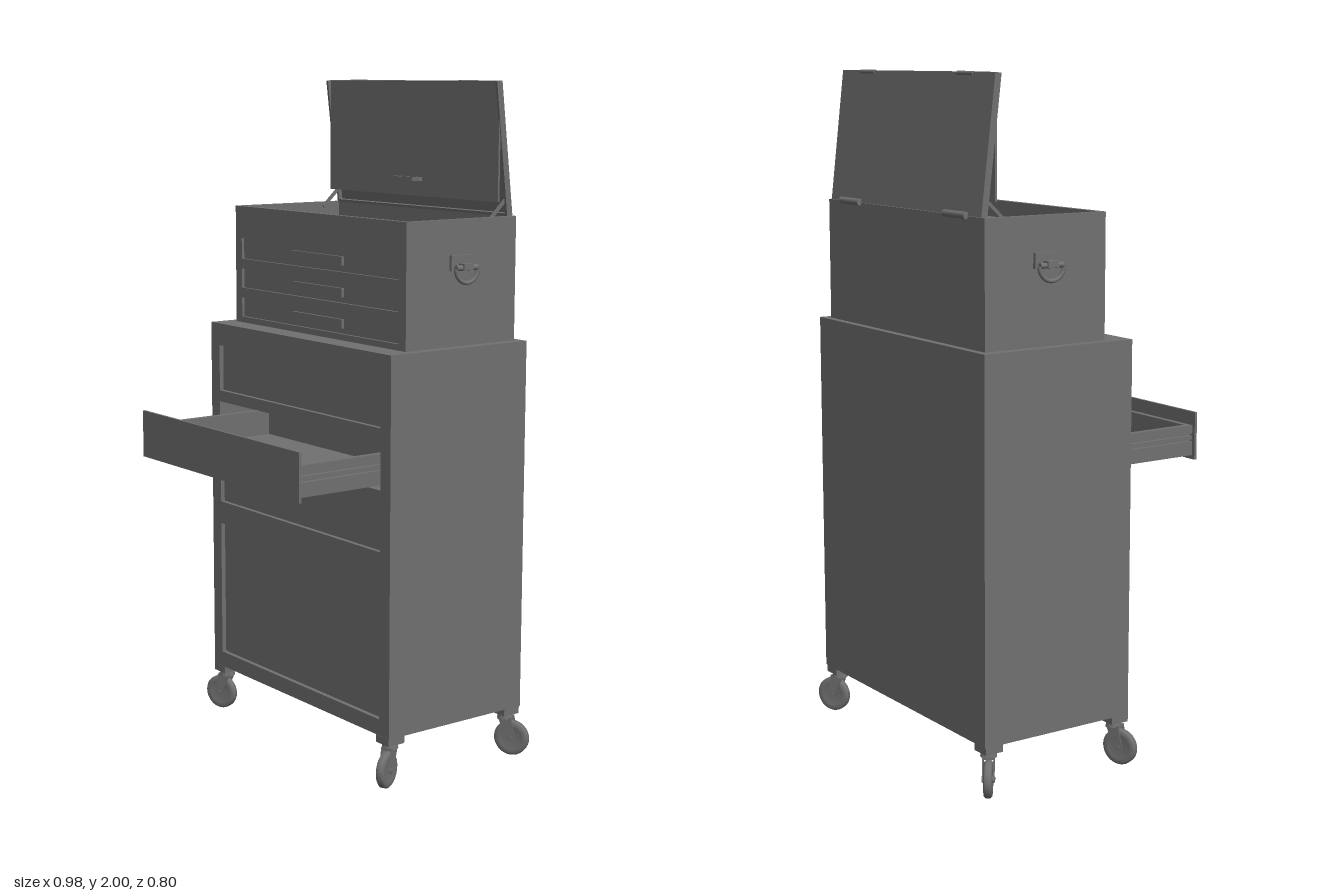
import * as THREE from 'three';

const paint = new THREE.MeshStandardMaterial({ color: 0x707070, side: THREE.DoubleSide });

function add(parent, name, geometry, x = 0, y = 0, z = 0) {
  const mesh = new THREE.Mesh(geometry, paint);
  mesh.name = name;
  mesh.position.set(x, y, z);
  parent.add(mesh);
  return mesh;
}

function group(parent, name, x = 0, y = 0, z = 0) {
  const g = new THREE.Group();
  g.name = name;
  g.position.set(x, y, z);
  parent.add(g);
  return g;
}

// Box given by its limits on each axis
function block(parent, name, x0, x1, y0, y1, z0, z1) {
  return add(parent, name, new THREE.BoxGeometry(x1 - x0, y1 - y0, z1 - z0),
    (x0 + x1) / 2, (y0 + y1) / 2, (z0 + z1) / 2);
}

// Closed outline through a few points
function outline(path, points) {
  path.setFromPoints(points.map(p => new THREE.Vector2(...p)));
  path.closePath();
  return path;
}

const rect = (path, w, y0, y1) => outline(path, [[-w, y0], [w, y0], [w, y1], [-w, y1]]);

// Sheet-metal shell with a front frame pierced by drawer openings
function shell(parent, w, y0, y1, zb, zf, openW, openings) {
  const t = 0.017;
  const frame = rect(new THREE.Shape(), w, y0, y1);
  for (const [a, b] of openings) frame.holes.push(rect(new THREE.Path(), openW, a, b));
  add(parent, 'frontFrame', new THREE.ExtrudeGeometry(frame, { depth: t, bevelEnabled: false }), 0, 0, zf - t);
  for (const s of [-1, 1]) {
    const x = s * (w - t / 2);
    block(parent, 'sidePanel', x - t / 2, x + t / 2, y0, y1, zb, zf - t);
  }
  block(parent, 'backPanel', -w + t, w - t, y0, y1, zb, zb + t);
  block(parent, 'bottomPanel', -w + t, w - t, y0, y0 + t, zb + t, zf - t);
}

function caster(parent, x, z, dx, dz) {
  const g = group(parent, 'caster', x, 0, z);
  block(g, 'mountingPlate', -0.029, 0.029, 0.128, 0.15, -0.029, 0.029);
  add(g, 'swivel', new THREE.CylinderGeometry(0.021, 0.024, 0.016, 20), 0, 0.121, 0);

  // Local +x is the trailing direction of the wheel
  const arm = group(g, 'swivelArm');
  arm.rotation.y = Math.atan2(-dz, dx);
  const cheek = outline(new THREE.Shape(), [[-0.018, 0.118], [0.01, 0.052], [0.022, 0.042], [0.036, 0.05], [0.024, 0.118]]);
  for (const s of [-1, 1]) {
    add(arm, 'forkCheek', new THREE.ExtrudeGeometry(cheek, { depth: 0.003, bevelEnabled: false }), 0, 0, s * 0.0155 - 0.0015);
  }
  block(arm, 'forkCrown', -0.018, 0.024, 0.11, 0.118, -0.017, 0.017);
  const profile = [[0, -0.009], [0.03, -0.009], [0.034, -0.012], [0.047, -0.012], [0.053, -0.007],
    [0.053, 0.007], [0.047, 0.012], [0.034, 0.012], [0.03, 0.009], [0, 0.009]].map(p => new THREE.Vector2(...p));
  add(arm, 'wheel', new THREE.LatheGeometry(profile, 32), 0.022, 0.053, 0).rotation.x = Math.PI / 2;
  add(arm, 'axle', new THREE.CylinderGeometry(0.008, 0.008, 0.038, 12), 0.022, 0.053, 0).rotation.x = Math.PI / 2;
}

function buildCabinet(root) {
  const g = group(root, 'cabinet');
  const openings = [[1.045, 1.187], [0.868, 1.01], [0.69, 0.834], [0.198, 0.62]];
  shell(g, 0.452, 0.15, 1.255, -0.38, 0.12, 0.407, openings);
  block(g, 'topPanel', -0.435, 0.435, 1.238, 1.255, -0.363, 0.103);
  // Closed fronts sit slightly behind the frame; the second opening is empty
  openings.forEach(([a, b], i) => {
    if (i !== 1) block(g, i === 3 ? 'lowerDoor' : 'drawerFront', -0.407, 0.407, a, b, 0.092, 0.106);
  });
  for (const y of [0.85, 1.025]) block(g, 'drawerShelf', -0.435, 0.435, y, y + 0.008, -0.363, 0.092);

  // Pulled-out drawer
  const d = group(g, 'openDrawer');
  block(d, 'drawerFront', -0.407, 0.407, 0.868, 1.01, 0.392, 0.4);
  block(d, 'drawerFrontWall', -0.377, 0.377, 0.88, 0.97, 0.375, 0.392);
  block(d, 'drawerBackWall', -0.377, 0.377, 0.88, 0.97, -0.06, -0.045);
  block(d, 'drawerFloor', -0.377, 0.377, 0.88, 0.892, -0.045, 0.375);
  for (const s of [-1, 1]) {
    // Side wall with a groove that holds a slide rail
    const side = group(d, 'drawerSide', s * 0.3865);
    block(side, 'sideWall', -0.0095, 0.0095, 0.88, 0.922, -0.06, 0.392);
    block(side, 'sideWall', -0.0095, 0.0095, 0.944, 0.97, -0.06, 0.392);
    block(side, 'slideRail', -0.0095, 0.0095, 0.927, 0.939, -0.06, 0.392);
    const x = -s * 0.006;
    block(side, 'grooveBack', x - 0.0035, x + 0.0035, 0.922, 0.944, -0.06, 0.392);
  }

  caster(g, -0.422, 0.092, -0.92, 0.4);
  caster(g, 0.422, 0.092, 0.45, 0.9);
  caster(g, -0.422, -0.348, -0.8, -0.6);
  caster(g, 0.422, -0.348, 0.86, -0.5);
}

function buildChest(root) {
  const g = group(root, 'topChest');
  const openings = [[1.453, 1.517], [1.363, 1.423], [1.273, 1.332]];
  shell(g, 0.422, 1.255, 1.615, -0.358, 0.045, 0.39, openings);
  block(g, 'trayFloor', -0.405, 0.405, 1.552, 1.565, -0.341, 0.028);
  for (const [a, b] of openings) {
    block(g, 'drawerFront', -0.39, 0.39, a, b, 0.02, 0.036);
    const m = (a + b) / 2;
    block(g, 'drawerPull', -0.125, 0.125, m - 0.013, m + 0.013, 0.036, 0.045);
  }

  // Drop handles on both sides
  for (const s of [-1, 1]) {
    const h = group(g, 'sideHandle', s * 0.422, 1.475, -0.155);
    add(h, 'handlePlate', new THREE.BoxGeometry(0.01, 0.044, 0.09), s * 0.005, 0.018, 0);
    add(h, 'handlePivot', new THREE.CylinderGeometry(0.008, 0.008, 0.076, 16), s * 0.022, 0.005, 0).rotation.x = Math.PI / 2;
    add(h, 'handleBracket', new THREE.BoxGeometry(0.026, 0.018, 0.036), s * 0.02, 0.008, 0);
    const bail = add(h, 'handleBail', new THREE.TorusGeometry(0.041, 0.006, 10, 24, Math.PI), s * 0.024, 0.003, 0);
    bail.rotation.set(Math.PI, Math.PI / 2, 0);
  }
}

function buildLid(root) {
  // Raised lid, leaning forward about its rear hinge
  const lid = group(root, 'lid', 0, 1.616, -0.358);
  lid.rotation.x = 0.12;
  const h = 0.384;
  block(lid, 'lidPanel', -0.406, 0.406, 0, h, 0, 0.007);
  for (const s of [-1, 1]) block(lid, 'lidSideLip', s * 0.402 - 0.004, s * 0.402 + 0.004, 0, h, 0.007, 0.02);
  block(lid, 'lidBottomLip', -0.398, 0.398, 0, 0.008, 0.007, 0.02);

  // Front cover hanging from the free edge of the lid
  const cover = group(root, 'frontCover');
  block(cover, 'coverPanel', -0.402, 0.402, 1.655, 1.994, -0.311, -0.305);
  const pull = outline(new THREE.Shape(), [[-0.06, 0], [0.06, 0], [0.06, 0.012], [0.045, 0.028], [-0.045, 0.028], [-0.06, 0.012]]);
  pull.holes.push(outline(new THREE.Path(), [[-0.052, 0.004], [0.052, 0.004], [0.052, 0.01], [0.041, 0.021], [-0.041, 0.021], [-0.052, 0.01]]));
  add(cover, 'coverPull', new THREE.ExtrudeGeometry(pull, { depth: 0.012, bevelEnabled: false }), 0, 1.712, -0.305).rotation.x = Math.PI / 2;

  for (const s of [-1, 1]) {
    add(cover, 'coverHinge', new THREE.CylinderGeometry(0.006, 0.006, 0.08, 12), s * 0.26, 1.993, -0.311).rotation.z = Math.PI / 2;
    add(root, 'rearHinge', new THREE.CylinderGeometry(0.01, 0.01, 0.11, 16), s * 0.285, 1.617, -0.362).rotation.z = Math.PI / 2;
    // Diagonal stay between chest and lid
    add(root, 'lidStay', new THREE.BoxGeometry(0.005, 0.085, 0.01), s * 0.397, 1.63, -0.305).rotation.x = -0.82;
  }
}

export function createModel() {
  const root = new THREE.Group();
  root.name = 'toolCabinet';
  buildCabinet(root);
  buildChest(root);
  buildLid(root);
  return root;
}
